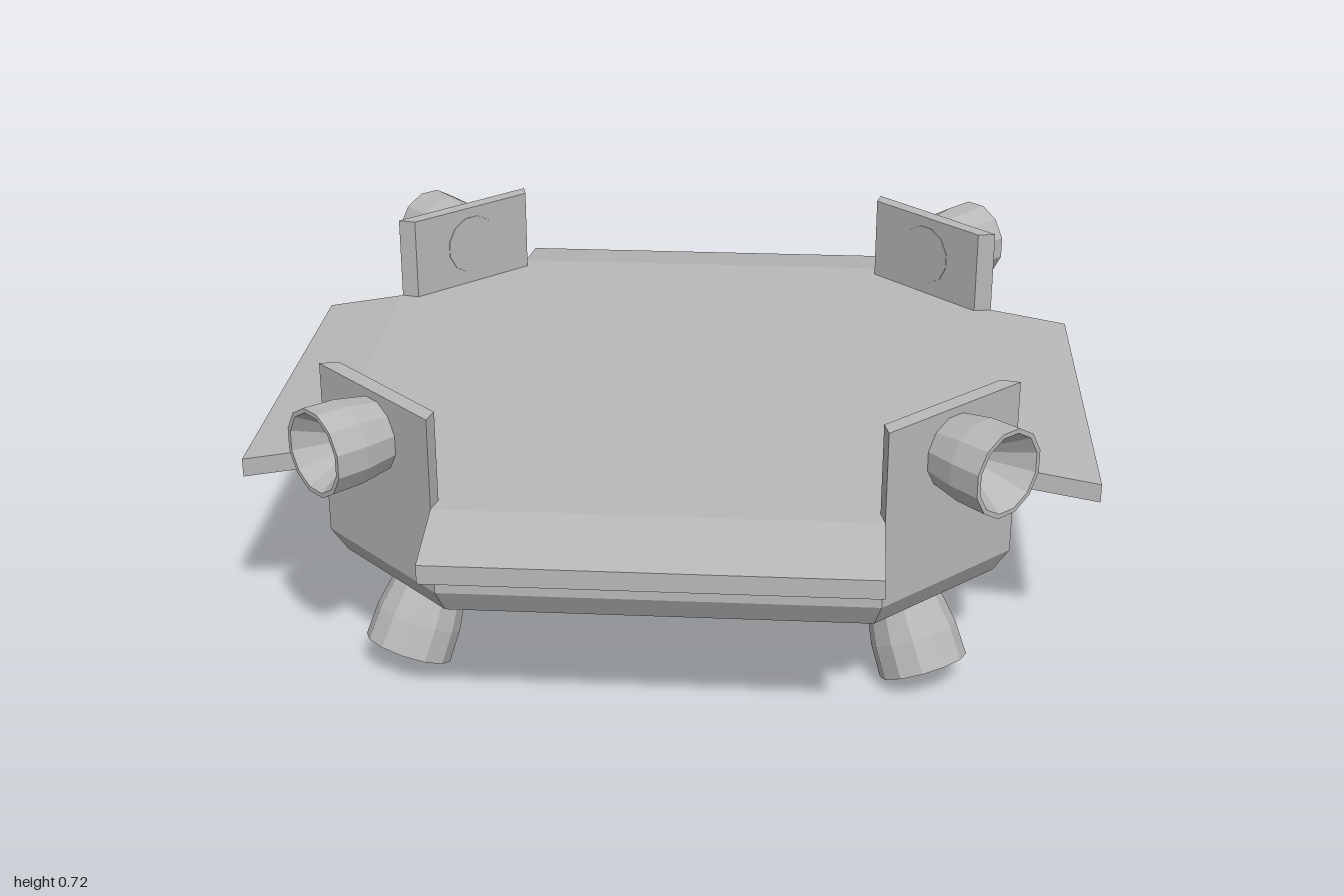
import * as THREE from 'three';

const grey = new THREE.MeshStandardMaterial({ color: 0xb8b8b8 });
grey.name = 'hull grey';
grey.flatShading = true;

function part(name, geometry, parent) {
  const mesh = new THREE.Mesh(geometry, grey);
  mesh.name = name;
  parent.add(mesh);
  return mesh;
}

// Eight-sided body lofted through rings: [side distance, half side length, height]
function loftOctagon(rings) {
  const pos = [], idx = [];
  for (const [e, h, y] of rings) {
    for (const [x, z] of [[e, h], [e, -h], [h, -e], [-h, -e], [-e, -h], [-e, h], [-h, e], [h, e]]) pos.push(x, y, z);
  }
  for (let i = 0; i < rings.length - 1; i++) {
    for (let j = 0; j < 8; j++) {
      const a = i * 8 + j, b = i * 8 + (j + 1) % 8;
      idx.push(a, b, b + 8, a, b + 8, a + 8);
    }
  }
  const last = (rings.length - 1) * 8;
  for (let j = 1; j < 7; j++) {
    idx.push(0, j + 1, j);
    idx.push(last, last + j, last + j + 1);
  }
  const g = new THREE.BufferGeometry();
  g.setAttribute('position', new THREE.Float32BufferAttribute(pos, 3));
  g.setIndex(idx);
  const flat = g.toNonIndexed();
  flat.computeVertexNormals();
  return flat;
}

function extrude(points, depth) {
  const shape = new THREE.Shape(points.map(([x, y]) => new THREE.Vector2(x, y)));
  return new THREE.ExtrudeGeometry(shape, { depth, bevelEnabled: false });
}

export function createModel() {
  const model = new THREE.Group();
  model.name = 'thrusterPlatform';

  part('hull', loftOctagon([
    [0.2, 0.13, 0.105], [0.56, 0.375, 0.133], [0.765, 0.485, 0.24], [0.8, 0.5, 0.3], [0.8, 0.5, 0.51],
  ]), model);

  // Sloping flap along each long side
  const flap = extrude([[0.79, 0.467], [1, 0.43], [1, 0.475], [0.8, 0.51]], 1).translate(0, 0, -0.5);

  // Upright plate across each corner
  const plate = extrude([[0.5, -0.8], [0.8, -0.5], [0.755, -0.49], [0.49, -0.755]], 0.225)
    .rotateX(-Math.PI / 2).translate(0, 0.5, 0);

  // Bell nozzle with a conical hollow, mouth at the origin facing +y
  const nozzle = new THREE.LatheGeometry([
    [0.08, -0.2], [0.09, -0.15], [0.102, -0.08], [0.104, 0], [0.093, 0], [0.018, -0.12], [0, -0.12],
  ].map(([r, y]) => new THREE.Vector2(r, y)), 12);

  const up = new THREE.Vector3(0, 1, 0);
  const tilt = THREE.MathUtils.degToRad(26);
  const s = Math.SQRT1_2;
  for (let i = 0; i < 4; i++) {
    const quarter = new THREE.Group();
    quarter.name = 'quarter' + (i + 1);
    quarter.rotation.y = i * Math.PI / 2;
    part('flap', flap, quarter);
    part('cornerPlate', plate, quarter);

    const upper = part('upperThruster', nozzle, quarter);
    upper.position.set(0.763, 0.62, 0.763);
    upper.quaternion.setFromUnitVectors(up, new THREE.Vector3(s, 0, s));

    const lower = part('lowerThruster', nozzle, quarter);
    lower.position.set(0.607, 0.046, 0.607);
    lower.quaternion.setFromUnitVectors(up,
      new THREE.Vector3(s * Math.sin(tilt), -Math.cos(tilt), s * Math.sin(tilt)));
    model.add(quarter);
  }
  return model;
}
